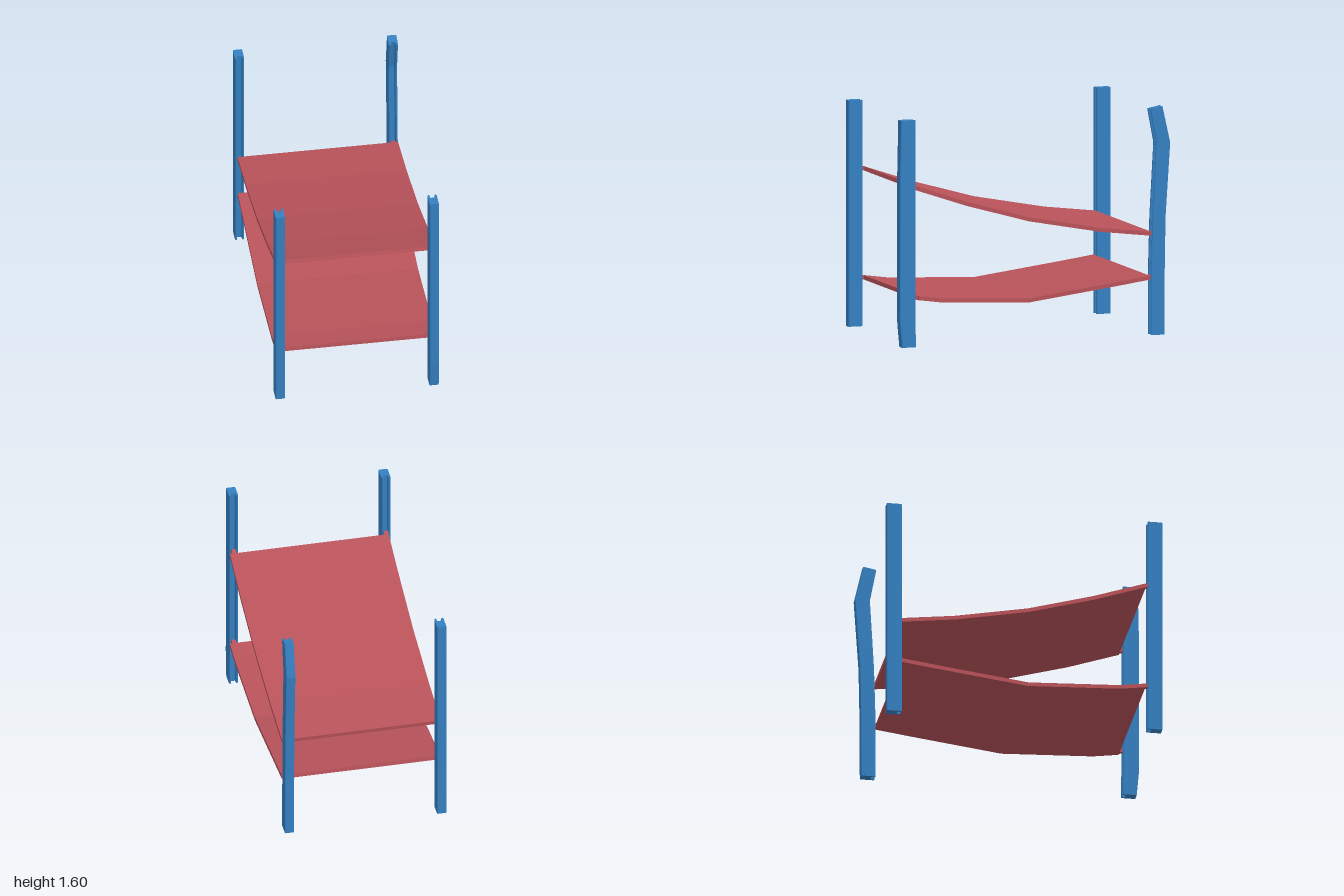
import * as THREE from 'three';

const blue = new THREE.MeshStandardMaterial({ color: 0x3580c2 });
blue.name = 'blue post';
const red = new THREE.MeshStandardMaterial({ color: 0xb9535a });
red.name = 'red panel';

// U-shaped post section: x across, y outward from the slotted inner face (depth 0..1)
function channelSection() {
  const w = 0.0325, s = 0.017, c = 0.006;
  const pts = [
    [-w, 0.08], [-w + c, 0], [-s - 0.002, 0.02], [-s, 0.08], [-s, 0.26], [-s + 0.004, 0.3],
    [s - 0.004, 0.3], [s, 0.26], [s, 0.08], [s + 0.002, 0.02], [w - c, 0], [w, 0.08],
    [w, 0.96], [w - 0.004, 1], [-w + 0.004, 1], [-w, 0.96],
  ];
  return new THREE.Shape(pts.map(([x, y]) => new THREE.Vector2(x, y)));
}

// Post swept through rows of [height, inner distance, outer distance, rise across depth]
function makePost(name, x, front, rows) {
  const n = rows.length - 1;
  const geo = new THREE.ExtrudeGeometry(channelSection(), { depth: n, steps: n, bevelEnabled: false });
  const p = geo.attributes.position;
  for (let i = 0; i < p.count; i++) {
    const [y, inner, outer, rise = 0] = rows[Math.round(p.getZ(i))];
    const d = p.getY(i);
    p.setXYZ(i, p.getX(i), y + rise * d, -(inner + (outer - inner) * d));
  }
  if (front) geo.rotateY(Math.PI);
  geo.translate(x, 0, 0);
  geo.computeVertexNormals();
  const mesh = new THREE.Mesh(geo, blue);
  mesh.name = name;
  return mesh;
}

// Bent sheet of even thickness following a [z, y] centre line, between x0 and x1
function makeSheet(name, path, x0, x1, thick = 0.028) {
  const pts = path.map(([z, y]) => new THREE.Vector2(-z, y));
  const top = [], bottom = [];
  pts.forEach((pt, i) => {
    const a = pts[Math.max(i - 1, 0)], b = pts[Math.min(i + 1, pts.length - 1)];
    const t = b.clone().sub(a).normalize();
    const normal = new THREE.Vector2(-t.y, t.x).multiplyScalar(thick / 2);
    top.push(pt.clone().add(normal));
    bottom.unshift(pt.clone().sub(normal));
  });
  const geo = new THREE.ExtrudeGeometry(new THREE.Shape([...bottom.reverse(), ...top.reverse()]),
    { depth: x1 - x0, bevelEnabled: false });
  geo.rotateY(Math.PI / 2);
  geo.translate(x0, 0, 0);
  const mesh = new THREE.Mesh(geo, red);
  mesh.name = name;
  return mesh;
}

// Panel with small tongues reaching into the post slots
function makePanel(name, path) {
  const group = new THREE.Group();
  group.name = name;
  group.add(makeSheet(name + 'Sheet', path, -0.557, 0.57));
  const tongue = (label, x, [z0, y0], [z1, y1], reach) => {
    const k = reach / Math.abs(z0 - z1);
    const tip = [z0 + (z0 - z1) * k, y0 + (y0 - y1) * k];
    group.add(makeSheet(label, [tip, [z0, y0]].sort((a, b) => b[0] - a[0]), x - 0.015, x + 0.015));
  };
  const [f0, f1] = path, [b1, b0] = path.slice(-2);
  tongue('frontLeftTongue', 0.5375, f0, f1, 0.035);
  tongue('frontRightTongue', -0.5425, f0, f1, 0.03);
  tongue('backLeftTongue', 0.5375, b0, b1, 0.025);
  return group;
}

export function createModel() {
  const model = new THREE.Group();
  model.name = 'twoTierRack';

  // Four slotted posts, two of them slightly warped
  model.add(makePost('frontRightPost', -0.5425, true, [[0.005, 0.875, 0.98], [1.59, 0.875, 0.98]]));
  model.add(makePost('backRightPost', -0.5425, false, [[0.005, 0.852, 0.958], [1.59, 0.852, 0.958]]));
  model.add(makePost('frontLeftPost', 0.5375, true, [
    [0, 0.88, 0.982], [0.06, 0.88, 0.988], [0.2, 0.884, 1], [1.2, 0.884, 0.998], [1.59, 0.882, 0.99],
  ]));
  model.add(makePost('backLeftPost', 0.5375, false, [
    [0, 0.855, 0.957], [0.5, 0.857, 0.96], [0.83, 0.866, 0.966],
    [1.345, 0.895, 1], [1.582, 0.85, 0.943, 0.018],
  ]));

  // Sagging panels
  model.add(makePanel('upperPanel', [[0.862, 1.108], [0.5, 0.985], [0.04, 0.855], [-0.48, 0.757], [-0.858, 0.711]]));
  model.add(makePanel('lowerPanel', [[0.862, 0.343], [0.68, 0.317], [0.04, 0.288], [-0.6, 0.37], [-0.85, 0.404]]));
  return model;
}
